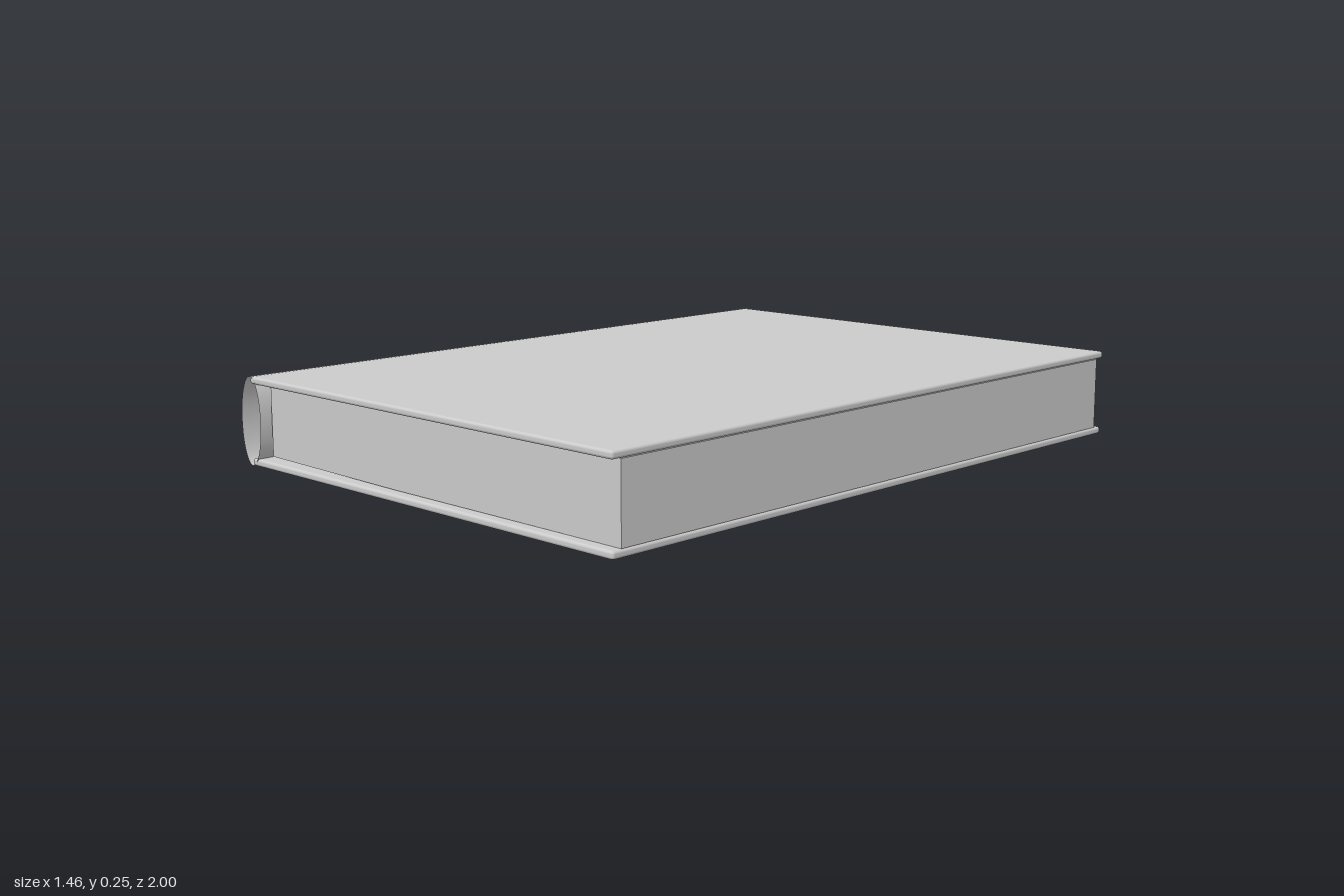
import * as THREE from 'three';
import { RoundedBoxGeometry } from 'three/addons/geometries/RoundedBoxGeometry.js';

const H = 0.247;          // overall height
const BOARD = 0.021;      // cover board thickness
const LEFT = -0.69, RIGHT = 0.73;

export function createModel() {
  const book = new THREE.Group();
  book.name = 'book';

  const grey = new THREE.MeshStandardMaterial({ color: 0xcccccc });
  grey.name = 'grey';
  const greySheet = grey.clone();
  greySheet.name = 'grey sheet';
  greySheet.side = THREE.DoubleSide;

  const add = (name, geometry, material = grey) => {
    const mesh = new THREE.Mesh(geometry, material);
    mesh.name = name;
    book.add(mesh);
    return mesh;
  };

  // Cover boards with softly rounded edges
  for (const [name, y] of [['bottomCover', BOARD / 2], ['topCover', H - BOARD / 2]]) {
    const board = add(name, new RoundedBoxGeometry(RIGHT - LEFT, BOARD, 2, 2, 0.008));
    board.position.set((LEFT + RIGHT) / 2, y, 0);
  }

  // Page block, pinched slightly toward the spine
  const mid = H / 2;
  const pageShape = new THREE.Shape([
    [-0.635, mid - 0.095], [-0.1, mid - 0.101], [0.727, mid - 0.102],
    [0.727, mid + 0.102], [-0.1, mid + 0.101], [-0.635, mid + 0.095],
  ].map(([x, y]) => new THREE.Vector2(x, y)));
  const pages = new THREE.ExtrudeGeometry(pageShape, { depth: 1.94, bevelEnabled: false });
  pages.translate(0, 0, -0.97);
  add('pages', pages);

  // Hollow spine: a thin open tube with an oval section
  const spine = new THREE.CylinderGeometry(1, 1, 2, 40, 1, true);
  spine.rotateX(Math.PI / 2);
  spine.scale(0.045, H / 2, 1);
  spine.translate(LEFT, mid, 0);
  add('spine', spine, greySheet);

  return book;
}
